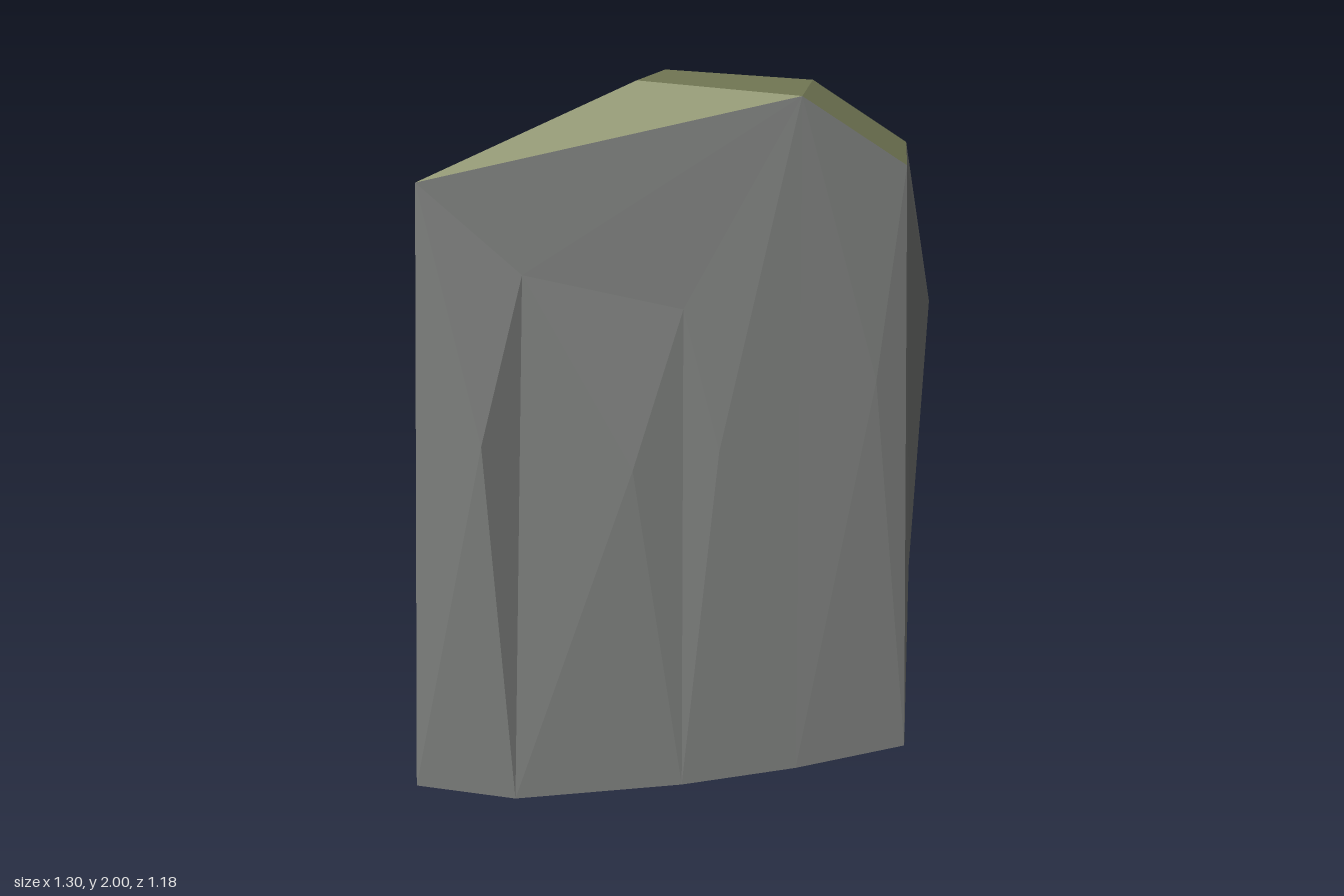
import * as THREE from 'three';

// Corner points of the boulder
const P = {
  // foot outline
  a: [-0.655, 0, 0.53], p: [-0.385, 0, 0.56], m: [0.05, 0, 0.465], n: [0.35, 0, 0.37],
  c: [0.64, 0, 0.25], d: [0.64, 0, -0.59], e: [-0.09, 0, -0.535],
  // crown outline and ridge
  A: [-0.57, 1.81, 0.515], B: [0.32, 2, 0.37], C: [0.57, 1.78, 0.27], D: [0.57, 1.47, -0.47],
  E: [-0.07, 1.68, -0.42], F: [0.32, 1.69, -0.37], G: [-0.07, 2, 0.32],
  // bulges and folds of the front wall
  q: [-0.43, 1.13, 0.587], r: [-0.33, 1.56, 0.49], s: [-0.07, 1.02, 0.495],
  t: [0.05, 1.45, 0.43], v: [0.14, 1.05, 0.437], w: [0.52, 1.2, 0.312],
  // bulges of the right, back and left walls
  k: [0.65, 1.1, -0.27], j: [0.38, 1.06, -0.55], l: [-0.312, 1.08, -0.11],
};

// Flat-shaded facets from three-letter corner lists, counter-clockwise from outside
function facets(name, list, material) {
  const position = list.split(' ').flatMap(f => [...f].flatMap(key => P[key]));
  const geometry = new THREE.BufferGeometry();
  geometry.setAttribute('position', new THREE.Float32BufferAttribute(position, 3));
  geometry.computeVertexNormals();
  const mesh = new THREE.Mesh(geometry, material);
  mesh.name = name;
  return mesh;
}

export function createModel() {
  const stone = new THREE.MeshStandardMaterial({ color: 0x7b7d7b });
  stone.name = 'grey stone';
  const moss = new THREE.MeshStandardMaterial({ color: 0x848a62 });
  moss.name = 'moss green';

  const rock = new THREE.Group();
  rock.name = 'boulder';
  rock.add(
    facets('frontWall', 'apq aqA Aqr qpr ArB rps rst spm smt rtB tmv tvB vmn vnB Bnw BwC wnc wcC', stone),
    facets('rightWall', 'cdC Cdk kdD CkD', stone),
    facets('backWall', 'deE dEj jED djD', stone),
    facets('leftWall', 'eaA eAl Eel ElA', stone),
    facets('underside', 'edc ecn enm emp epa', stone),
    facets('mossyTop', 'ABG AGE GBF GFE BCD BDF EFD', moss),
  );
  return rock;
}
